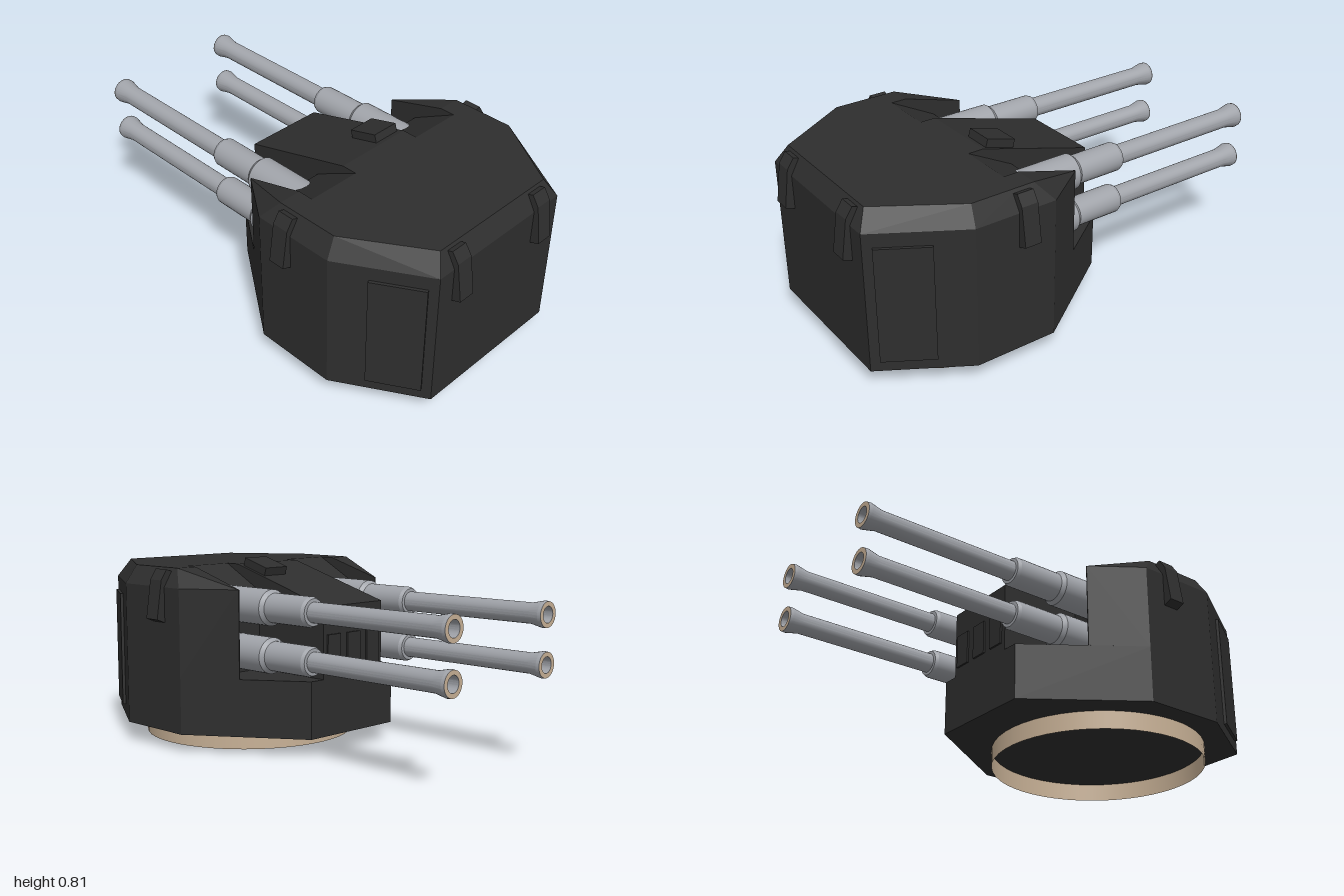
import * as THREE from 'three';
import { ConvexGeometry } from 'three/addons/geometries/ConvexGeometry.js';
import { toCreasedNormals } from 'three/addons/utils/BufferGeometryUtils.js';

const armour = new THREE.MeshStandardMaterial({ color: 0x2e2e2e });
armour.name = 'dark armour';
const steel = new THREE.MeshStandardMaterial({ color: 0xa0a3a9 });
steel.name = 'gun steel';
const tan = new THREE.MeshStandardMaterial({ color: 0xc8b196, side: THREE.DoubleSide });
tan.name = 'tan metal';

function add(parent, name, geometry, material, x = 0, y = 0, z = 0) {
  const mesh = new THREE.Mesh(geometry, material);
  mesh.name = name;
  mesh.position.set(x, y, z);
  parent.add(mesh);
  return mesh;
}

// Convex block from corner points
const block = (points) => new ConvexGeometry(points.map((p) => new THREE.Vector3(...p)));
// Plan corners [x, z] repeated at two heights
const walls = (plan, y0, y1) => plan.flatMap(([x, z]) => [[x, y0, z], [x, y1, z]]);
// Points mirrored across x = 0
const bothSides = (points) => points.flatMap(([x, y, z]) => [[x, y, z], [-x, y, z]]);

const FLOOR = 0.325, EAVE = 0.7, ROOF = 0.78;

function gunGeometry() {
  // [radius, distance forward], ending inside the bore
  const profile = [
    [0.077, -0.3], [0.077, 0.05], [0.063, 0.067], [0.063, 0.28], [0.056, 0.295], [0.043, 0.296],
    [0.043, 0.93], [0.055, 0.985], [0.053, 1], [0.034, 1], [0.034, 0.9], [0, 0.9],
  ].map(([r, d]) => new THREE.Vector2(r, d));
  const geometry = new THREE.LatheGeometry(profile, 28);
  geometry.rotateX(-Math.PI / 2);
  return toCreasedNormals(geometry, 0.4);
}

function bracketGeometry() {
  const outline = [
    [-0.03, 0.55], [0, 0.55], [0.04, 0.565], [0.015, 0.73], [-0.015, 0.775], [-0.045, 0.765],
  ].map(([x, y]) => new THREE.Vector2(x, y));
  const geometry = new THREE.ExtrudeGeometry(new THREE.Shape(outline), { depth: 0.075, bevelEnabled: false });
  return geometry.translate(0, 0, -0.0375);
}

export function createModel() {
  const model = new THREE.Group();
  model.name = 'gunTurret';

  // Open ring under the turret
  add(model, 'baseRing', new THREE.CylinderGeometry(0.476, 0.476, 0.08, 48, 1, true), tan, 0, 0.04, 0.43);

  // Faceted armoured body
  const body = new THREE.Group();
  body.name = 'armouredBody';
  model.add(body);
  const rearPlan = [[0.57, 0.6], [0.355, 0.96]];
  add(body, 'lowerHull', block(bothSides(
    walls([[0.25, -0.23], [0.57, 0.23], ...rearPlan], 0.08, FLOOR))), armour);
  add(body, 'rearHull', block(bothSides([
    ...walls([[0.57, 0.37], ...rearPlan], FLOOR, EAVE),
    [0.52, ROOF, 0.37], [0.52, ROOF, 0.585], [0.31, ROOF, 0.915],
  ])), armour);
  add(body, 'centreBlock', block(bothSides([
    [0.18, FLOOR, -0.23], [0.18, 0.63, -0.23], [0.18, ROOF, 0.3], [0.18, ROOF, 0.37], [0.18, FLOOR, 0.37],
  ])), armour);

  const gun = gunGeometry();
  const lip = new THREE.RingGeometry(0.034, 0.053, 28).rotateY(Math.PI);
  const bracket = bracketGeometry();

  for (const s of [1, -1]) {
    const side = s > 0 ? 'left' : 'right';
    const mirror = (points) => points.map(([x, y, z]) => [s * x, y, z]);

    // Cheek outside the gun slot, and the sloped back of the slot
    add(body, side + 'Cheek', block(mirror([
      ...walls([[0.42, 0.02], [0.424, 0.02], [0.57, 0.23], [0.57, 0.37], [0.42, 0.37]], FLOOR, EAVE),
      [0.52, ROOF, 0.3], [0.52, ROOF, 0.37], [0.42, ROOF, 0.3], [0.42, ROOF, 0.37],
    ])), armour);
    add(body, side + 'SlotBack', block(mirror([0.18, 0.42].flatMap((x) => [
      [x, FLOOR, 0.16], [x, 0.67, 0.16], [x, ROOF, 0.37], [x, FLOOR, 0.37],
    ]))), armour);

    // Upper and lower guns with tan muzzle rings
    for (const [level, y] of [['Upper', 0.622], ['Lower', 0.42]]) {
      add(model, side + level + 'Gun', gun, steel, s * 0.3, y, 0);
      add(model, side + level + 'MuzzleRing', lip, tan, s * 0.3, y, -1.001);
    }

    // Brackets hanging from the side and rear eaves
    add(model, side + 'SideBracket', bracket, armour, s * 0.57, 0, 0.365).rotation.y = s > 0 ? 0 : Math.PI;
    add(model, side + 'RearBracket', bracket, armour, s * 0.24, 0, 0.96).rotation.y = -Math.PI / 2;

    // Door on the slanted rear wall
    add(model, side + 'Door', new THREE.BoxGeometry(0.224, 0.51, 0.026), armour, s * 0.4325, 0.385, 0.83)
      .rotation.y = s * Math.atan2(0.36, 0.215);
  }

  // Three shutters on the gun-side face
  for (const x of [-0.12, 0, 0.12]) {
    add(model, 'shutter', new THREE.BoxGeometry(0.078, 0.15, 0.016), armour, x, 0.437, -0.23);
  }

  // Sight hood on the sloping roof
  add(model, 'sightHood', new THREE.BoxGeometry(0.126, 0.04, 0.14), armour, 0.1025, 0.77, 0.205)
    .rotation.x = -0.277;

  return model;
}
